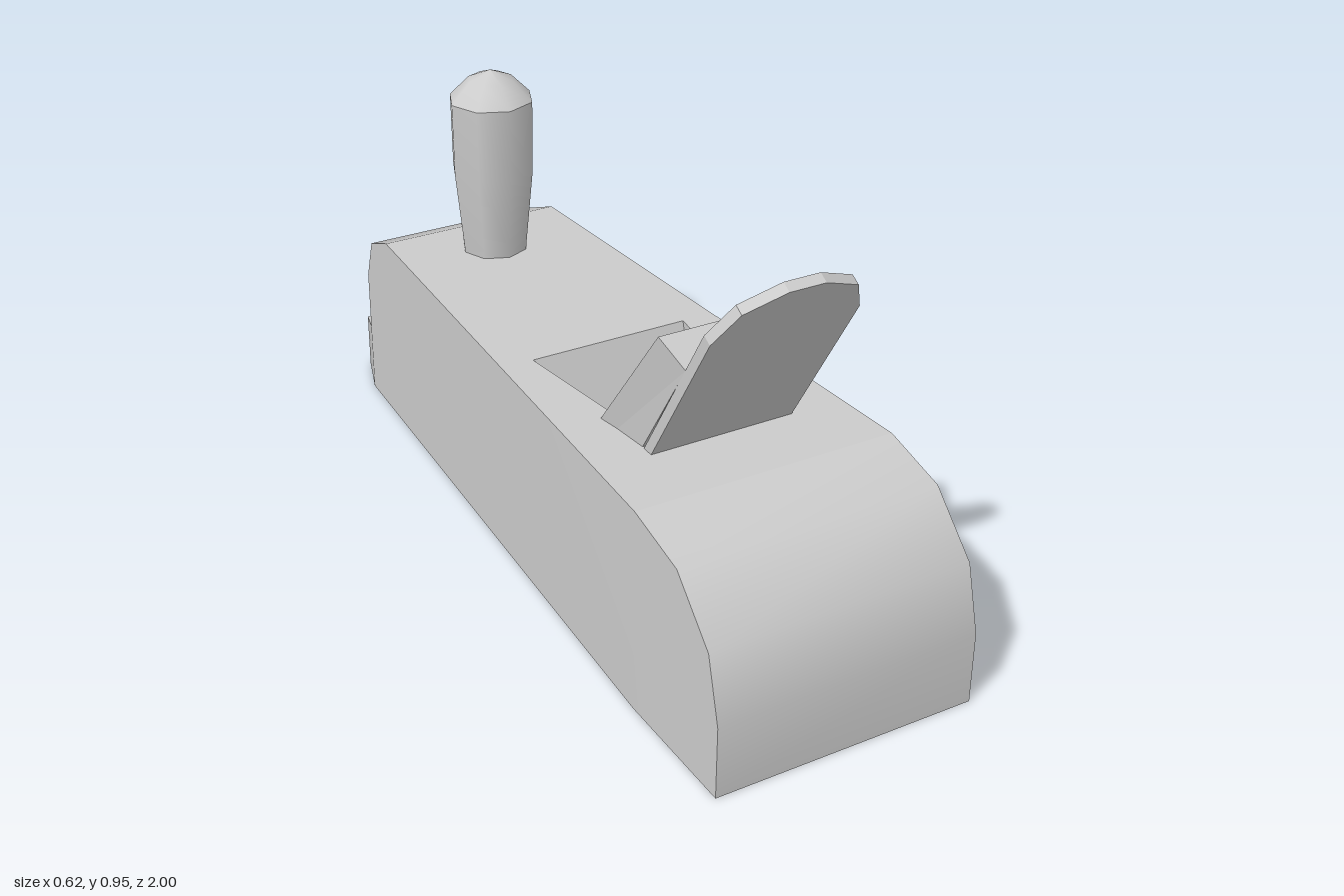
import * as THREE from 'three';
import { toCreasedNormals } from 'three/addons/utils/BufferGeometryUtils.js';

const DECK = 0.48;
const grey = new THREE.MeshStandardMaterial({ color: 0xcccccc });
const greyDouble = new THREE.MeshStandardMaterial({ color: 0xcccccc, side: THREE.DoubleSide });

// Half-width of the body: parallel nose, then a straight taper to the toe
const halfWidth = (z) => (z >= 0.68 ? 0.31 : 0.225 + (0.085 * (z + 0.84)) / 1.52);

// Geometry from convex polygons, corners counter-clockwise from outside
function fromFaces(faces, crease = 0) {
  const pos = [];
  for (const f of faces) {
    for (let i = 1; i < f.length - 1; i++) pos.push(...f[0], ...f[i], ...f[i + 1]);
  }
  const geo = new THREE.BufferGeometry();
  geo.setAttribute('position', new THREE.Float32BufferAttribute(pos, 3));
  geo.computeVertexNormals();
  return crease ? toCreasedNormals(geo, crease) : geo;
}

function shapeOf(points) {
  return new THREE.Shape(points.map(([x, y]) => new THREE.Vector2(x, y)));
}

// Mirror a half outline (x > 0, listed from the start round to the middle)
const mirrored = (half) => [...half, ...half.slice().reverse().map(([x, y]) => [-x, y])];

function bodyGeometry() {
  // Stations along the body: z and height of the top
  const stations = [[1, 0.17], [0.96, 0.32], [0.84, 0.44], [0.68, DECK],
    [-0.69, DECK], [-0.8, 0.435], [-0.84, 0.33]];
  const sections = stations.map(([z, t]) => {
    const w = halfWidth(z);
    return [[-w, 0, z], [w, 0, z], [w, t, z], [-w, t, z]];
  });
  const faces = [];
  for (let i = 0; i < sections.length - 1; i++) {
    const a = sections[i], b = sections[i + 1];
    faces.push([a[1], b[1], b[2], a[2]]);
    faces.push([a[0], a[3], b[3], b[0]]);
    faces.push([a[0], b[0], b[1], a[1]]);
    // The flat deck is made separately, with its opening
    if (i !== 3) faces.push([a[3], a[2], b[2], b[3]]);
  }
  faces.push(sections[0], sections.at(-1).slice().reverse());
  return fromFaces(faces, 0.9);
}

function deckGeometry() {
  const shape = shapeOf(mirrored([[halfWidth(0.68), -0.68], [halfWidth(-0.69), 0.69]]));
  shape.holes.push(shapeOf(mirrored([[0.155, -0.34], [0.195, -0.03]])));
  return new THREE.ShapeGeometry(shape).rotateX(-Math.PI / 2).translate(0, DECK, 0);
}

function pocketGeometry() {
  const top = (s) => [s * 0.195, DECK, 0.03];
  const low = (s) => [s * 0.18, 0.22, 0.13];
  const cheek = (s) => [s * 0.155, DECK, 0.34];
  return fromFaces([
    [low(-1), low(1), top(1), top(-1)],
    [top(1), low(1), cheek(1)],
    [top(-1), cheek(-1), low(-1)],
  ]);
}

function toeGeometry() {
  const plan = mirrored([[0.225, 0.84], [0.185, 0.96], [0.085, 1]]);
  const geo = new THREE.ExtrudeGeometry(shapeOf(plan), { depth: 0.18, bevelEnabled: false });
  geo.rotateX(-Math.PI / 2);
  // Slope the top down towards the end
  const p = geo.attributes.position;
  for (let i = 0; i < p.count; i++) {
    if (p.getY(i) > 0.1) p.setY(i, 0.18 - (0.05 * (-0.84 - p.getZ(i))) / 0.16);
  }
  return toCreasedNormals(geo, 0.9);
}

function wedgeGeometry() {
  // Wide face towards the pocket, narrower face against the iron
  const edge = (w, y, z) => [[-w, y, z], [w, y, z]];
  const [fl, fr] = edge(0.19, 0.22, 0.13);
  const [tl, tr] = edge(0.19, 0.78, 0.56);
  const [bl, br] = edge(0.172, 0.735, 0.635);
  const [ul, ur] = edge(0.172, 0.22, 0.31);
  return fromFaces([
    [fl, tl, tr, fr],
    [tl, bl, br, tr],
    [ul, ur, br, bl],
    [fl, fr, ur, ul],
    [fr, tr, br, ur],
    [fl, ul, bl, tl],
  ]);
}

function ironGeometry() {
  const outline = mirrored([[0.173, 0], [0.173, 0.677], [0.133, 0.764], [0.042, 0.805]]);
  const geo = new THREE.ExtrudeGeometry(shapeOf(outline), { depth: 0.025, bevelEnabled: false });
  return geo.translate(0, 0, -0.025).rotateX(0.542).translate(0, 0.25, 0.372);
}

export function createModel() {
  const model = new THREE.Group();
  const add = (name, geometry, material = grey) => {
    const mesh = new THREE.Mesh(geometry, material);
    mesh.name = name;
    model.add(mesh);
    return mesh;
  };

  add('body', bodyGeometry());
  add('deck', deckGeometry());
  add('pocket', pocketGeometry(), greyDouble);
  add('toe', toeGeometry());
  add('wedge', wedgeGeometry());
  add('iron', ironGeometry());

  // Eight-sided knob: tapered grip and domed cap
  const lathe = (pts) =>
    new THREE.LatheGeometry(pts.map(([r, y]) => new THREE.Vector2(r, y)), 8);
  const grip = lathe([[0.08, 0.46], [0.083, 0.5], [0.102, 0.69], [0.104, 0.87]]);
  const cap = lathe([[0.104, 0.87], [0.055, 0.92], [0, 0.942]]);
  add('knobGrip', grip).position.z = -0.55;
  add('knobCap', cap).position.z = -0.55;

  return model;
}
